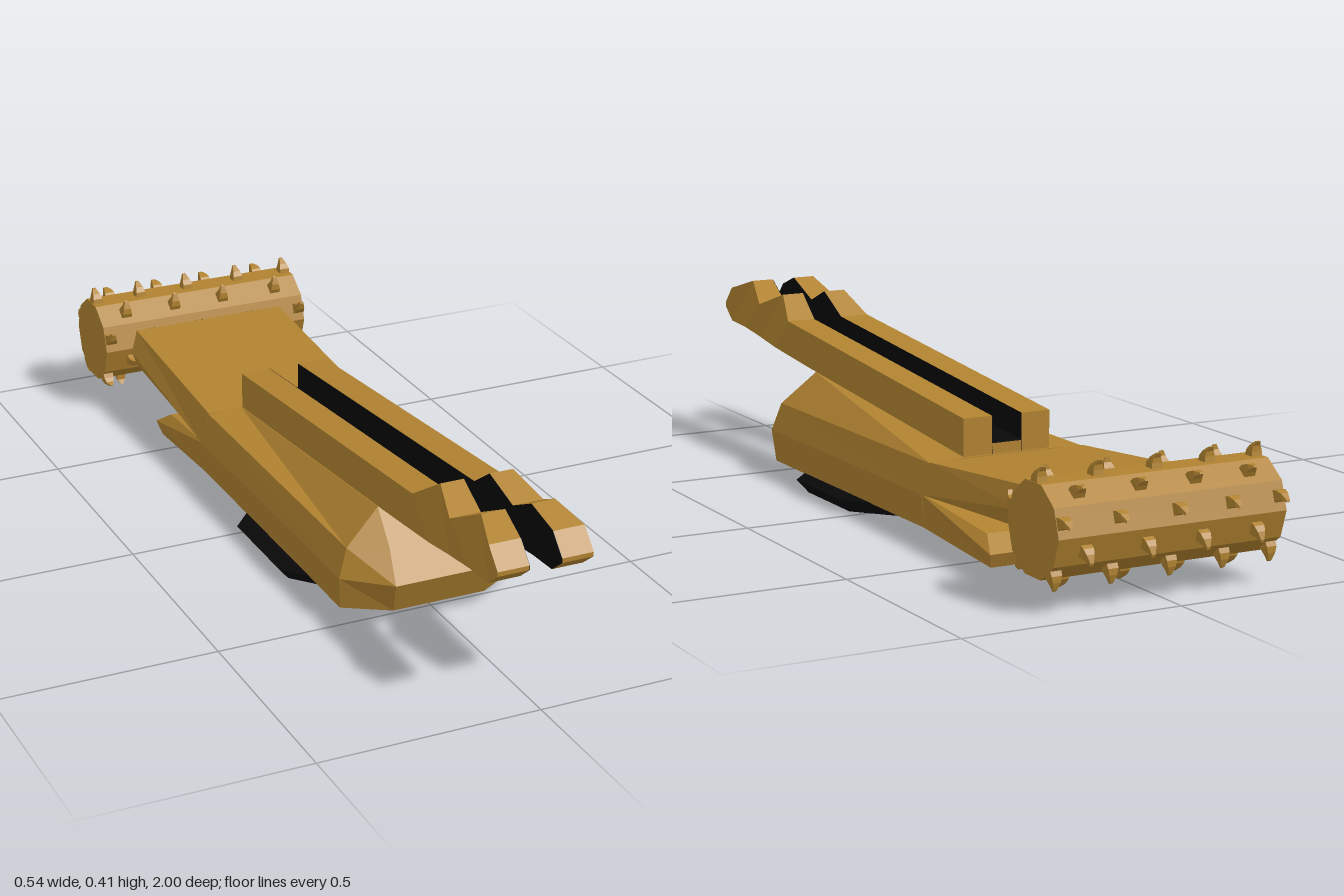
import * as THREE from 'three';

const gold = new THREE.MeshStandardMaterial({ color: 0xb08230, flatShading: true });
const black = new THREE.MeshStandardMaterial({ color: 0x080808, flatShading: true, side: THREE.DoubleSide });

// Closed solid skinned over rings of equal point count; faces are turned outward by signed volume.
function loft(rings, capped = true) {
  const tris = [];
  const quad = (a, b, c, d) => tris.push([a, b, c], [a, c, d]);
  const n = rings[0].length;
  for (let r = 0; r < rings.length - 1; r++) {
    for (let i = 0; i < n; i++) {
      const j = (i + 1) % n;
      quad(rings[r][i], rings[r][j], rings[r + 1][j], rings[r + 1][i]);
    }
  }
  // Caps run in strips across the ring, so they may bend
  if (capped) {
    const last = rings[rings.length - 1];
    for (let i = 0; i < n / 2 - 1; i++) {
      quad(rings[0][n - 1 - i], rings[0][n - 2 - i], rings[0][i + 1], rings[0][i]);
      quad(last[i], last[i + 1], last[n - 2 - i], last[n - 1 - i]);
    }
  }
  const V = (p) => new THREE.Vector3(...p);
  const solid = tris.filter(([a, b, c]) => V(b).sub(V(a)).cross(V(c).sub(V(a))).length() > 1e-9);
  const volume = solid.reduce((s, [a, b, c]) => s + V(a).dot(V(b).cross(V(c))), 0);
  if (volume < 0) solid.forEach((t) => t.reverse());
  const g = new THREE.BufferGeometry();
  g.setAttribute('position', new THREE.Float32BufferAttribute(solid.flat(2), 3));
  g.computeVertexNormals();
  return g;
}

// Full ring from the points of its left half, top to bottom
const mirrorRing = (half) => [...half, ...half.map(([x, y, z]) => [-x, y, z]).reverse()];

function add(parent, name, geometry, material = gold) {
  const mesh = new THREE.Mesh(geometry, material);
  mesh.name = name;
  parent.add(mesh);
  return mesh;
}

export function createModel() {
  const model = new THREE.Group();
  model.name = 'vehicle';

  // Hull with bevelled nose
  add(model, 'hull', loft([
    [[0.11, 0.242, 0.46], [0.11, 0.17, 0.52], [0.12, 0.105, 0.573], [0.11, 0.03, 0.54]],
    [[0.11, 0.242, 0.46], [0.193, 0.17, 0.48], [0.215, 0.105, 0.49], [0.208, 0.03, 0.48]],
    [[0.11, 0.176, -0.29], [0.193, 0.172, -0.29], [0.215, 0.105, -0.29], [0.208, 0.03, -0.29]],
  ].map(mirrorRing)));

  // Rear arm rising to the drum, and the lower jaw below it
  add(model, 'rearArm', loft([
    [[0.193, 0.174, -0.288], [0.215, 0.105, -0.288], [0.21, 0.104, -0.288]],
    [[0.193, 0.212, -0.755], [0.215, 0.164, -0.735], [0.193, 0.118, -0.755]],
  ].map(mirrorRing)));
  add(model, 'lowerJaw', loft([
    [[0.213, 0.106, -0.288], [0.214, 0.104, -0.288], [0.208, 0.03, -0.288]],
    [[0.19, 0.07, -0.54], [0.21, 0.037, -0.59], [0.2, 0.005, -0.575]],
  ].map(mirrorRing)));

  // Octagonal base
  const octagon = (k, y) => mirrorRing([[0.14, -0.255], [0.255, -0.12], [0.255, 0.12], [0.14, 0.255]]
    .map(([x, z]) => [x * k, y, 0.145 + z * k]));
  add(model, 'base', loft([octagon(0.9, 0), octagon(1, 0.031)]), black);

  // Twin rails with toothed tips: z, top y, bottom y, inner x, outer x
  const stations = [
    [-0.285, 0.262, 0.17, 0.037, 0.108],
    [0.62, 0.342, 0.257, 0.037, 0.108],
    [0.70, 0.395, 0.265, 0.03, 0.084],
    [0.79, 0.36, 0.278, 0.037, 0.108],
    [0.88, 0.405, 0.289, 0.03, 0.084],
    [0.96, 0.378, 0.293, 0.037, 0.108],
    [1.0, 0.335, 0.325, 0.037, 0.108],
  ];
  for (const s of [1, -1]) {
    const side = s > 0 ? 'left' : 'right';
    add(model, side + 'Rail', loft(stations.map(([z, top, bottom, xi, xo]) => [
      [s * xi, top, z], [s * xo, top, z], [s * 0.108, bottom, z], [s * 0.037, bottom, z],
    ])));
    // Dark lining on the inner face
    add(model, side + 'RailLining', loft(stations.map(([z, top, bottom, xi]) => [
      [s * (xi - 0.001), top, z], [s * xi, top, z], [s * 0.037, bottom, z], [s * 0.036, bottom, z],
    ])), black);
  }

  // Floor of the slot between the rails
  const slotRing = (x, top, bottom, z) => mirrorRing([[x, top, z], [x, bottom, z]]);
  add(model, 'slotFloor', loft([slotRing(0.037, 0.2, 0.165, -0.285), slotRing(0.037, 0.24, 0.22, 0.46)]));
  add(model, 'slotLining', loft([slotRing(0.037, 0.203, 0.2, -0.284), slotRing(0.037, 0.243, 0.24, 0.46)]), black);

  // Spiked drum
  const drum = new THREE.Group();
  drum.name = 'spikedDrum';
  drum.position.set(0, 0.16, -0.87);
  model.add(drum);
  const body = new THREE.CylinderGeometry(0.102, 0.102, 0.538, 10);
  body.rotateZ(Math.PI / 2);
  body.rotateX(Math.PI / 2 * (body.parameters.radialSegments % 4 ? 0 : 1));
  // Put drum corners on the horizontal z axis
  add(drum, 'drumBody', body);
  const p = body.attributes.position;
  let highest = 0;
  for (let i = 0; i < p.count; i++) highest = Math.max(highest, p.getY(i));
  if (highest > 0.1) body.rotateX(Math.PI / 10);

  // Hooked spike: tangent offset, radius, half size along x, half size along tangent
  const spike = loft([
    [0, 0.09, 0.013, 0.014],
    [0, 0.108, 0.012, 0.011],
    [0.004, 0.119, 0.009, 0.007],
    [0.014, 0.129, 0.004, 0.003],
  ].map(([t, r, hx, ht]) => [[hx, r, -t - ht], [hx, r, -t + ht], [-hx, r, -t + ht], [-hx, r, -t - ht]]));
  const rows = [[-0.255, -0.14, -0.013, 0.125, 0.255], [-0.2, -0.07, 0.06, 0.203]];
  for (let k = 0; k < 10; k++) {
    for (const x of rows[k % 2]) {
      const claw = add(drum, 'spike', spike);
      claw.position.x = x;
      claw.rotation.x = k * Math.PI / 5;
    }
  }
  return model;
}
